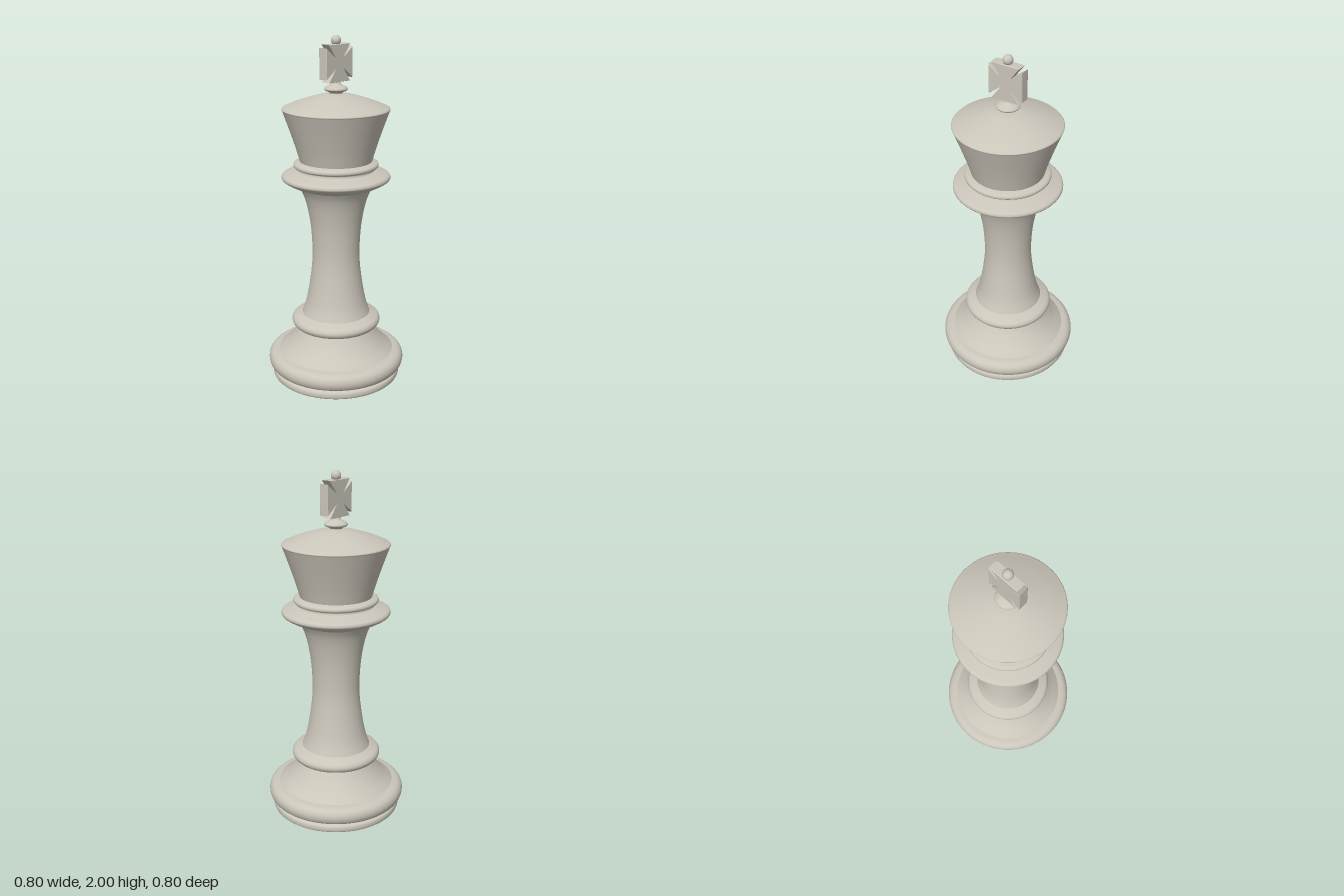
import * as THREE from 'three';

const SEGMENTS = 96;

export function createModel() {
  const group = new THREE.Group();
  const ivory = new THREE.MeshStandardMaterial({ color: 0xcbc6ba });
  ivory.name = 'warmStone';

  const add = (name, geometry, y = 0) => {
    const mesh = new THREE.Mesh(geometry, ivory);
    mesh.name = name;
    mesh.position.y = y;
    group.add(mesh);
  };

  // Turned part: [radius, height] points from bottom to top, smoothed by a spline
  const turned = (name, profile, steps = 32) => {
    const curve = new THREE.SplineCurve(profile.map(([r, y]) => new THREE.Vector2(r, y)));
    const points = curve.getPoints(steps).map((p) => p.setX(Math.max(p.x, 0)));
    add(name, new THREE.LatheGeometry(points, SEGMENTS));
  };

  // Base: flat underside, foot ring, wide rounded plinth
  const underside = new THREE.CircleGeometry(0.365, SEGMENTS);
  underside.rotateX(Math.PI / 2);
  add('underside', underside);
  turned('footRing', [[0.365, 0], [0.376, 0.008], [0.379, 0.025], [0.374, 0.042], [0.355, 0.052], [0.345, 0.06]]);
  turned('plinth', [[0.345, 0.058], [0.38, 0.062], [0.396, 0.08], [0.402, 0.108],
    [0.394, 0.135], [0.372, 0.153], [0.335, 0.16]]);
  turned('baseSlope', [[0.338, 0.16], [0.29, 0.203], [0.25, 0.25], [0.225, 0.288], [0.21, 0.315]]);
  turned('lowerRing', [[0.21, 0.308], [0.242, 0.316], [0.256, 0.33], [0.26, 0.348],
    [0.25, 0.367], [0.225, 0.38], [0.195, 0.393]]);

  // Waisted shaft
  turned('shaft', [[0.2, 0.388], [0.176, 0.46], [0.155, 0.57], [0.14, 0.69], [0.137, 0.79],
    [0.145, 0.92], [0.163, 1.03], [0.186, 1.11], [0.212, 1.16]], 48);

  // Collar discs
  turned('collar', [[0.208, 1.155], [0.25, 1.172], [0.288, 1.192], [0.305, 1.205], [0.308, 1.217],
    [0.298, 1.231], [0.255, 1.244], [0.218, 1.255]]);
  turned('upperRing', [[0.218, 1.252], [0.216, 1.267], [0.236, 1.274], [0.241, 1.285],
    [0.234, 1.298], [0.203, 1.308]]);

  // Flared crown and domed top
  turned('crown', [[0.204, 1.305], [0.224, 1.375], [0.25, 1.455], [0.278, 1.535], [0.299, 1.593]]);
  turned('crownRim', [[0.299, 1.593], [0.302, 1.6], [0.296, 1.607]], 8);
  turned('dome', [[0.296, 1.607], [0.22, 1.638], [0.13, 1.667], [0.065, 1.682], [0, 1.686]]);
  turned('finialKnob', [[0.038, 1.68], [0.036, 1.69], [0.06, 1.701], [0.066, 1.711],
    [0.055, 1.723], [0.033, 1.733], [0.024, 1.745], [0.022, 1.76]]);

  // Cross with four flared arms
  const half = 0.1, flare = 0.081, inner = 0.028;
  const outline = [];
  for (let i = 0; i < 4; i++) {
    const a = (i * Math.PI) / 2;
    for (const [x, y] of [[half, -flare], [half, flare], [inner, inner]]) {
      outline.push(new THREE.Vector2(x * Math.cos(a) - y * Math.sin(a), x * Math.sin(a) + y * Math.cos(a)));
    }
  }
  const cross = new THREE.ExtrudeGeometry(new THREE.Shape(outline), {
    depth: 0.05, bevelEnabled: true, bevelThickness: 0.004, bevelSize: 0.003, bevelSegments: 1,
  });
  cross.translate(0, 0, -0.025);
  add('cross', cross, 1.851);
  add('topBall', new THREE.SphereGeometry(0.028, 32, 20), 1.972);

  return group;
}
